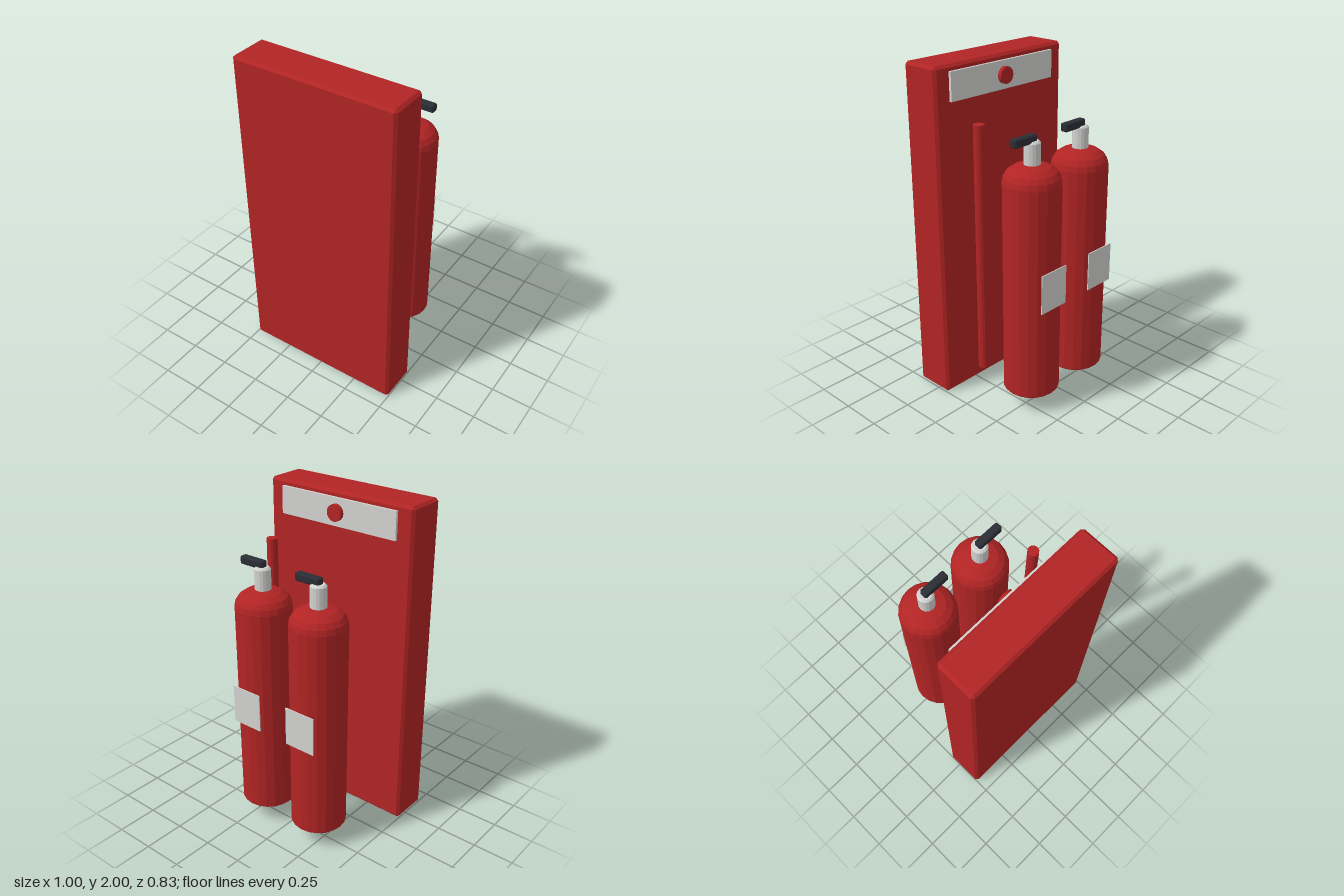
import * as THREE from 'three';
import { ConvexGeometry } from 'three/addons/geometries/ConvexGeometry.js';

const mat = (name, color, flatShading = true) =>
  Object.assign(new THREE.MeshStandardMaterial({ color, flatShading }), { name });

// Box with every edge cut at 45 degrees
function chamferBox(w, h, d, c) {
  const points = [];
  for (const x of [-1, 1]) for (const y of [-1, 1]) for (const z of [-1, 1]) {
    for (let full = 0; full < 3; full++) {
      points.push(new THREE.Vector3(
        x * (w / 2 - (full === 0 ? 0 : c)),
        y * (h / 2 - (full === 1 ? 0 : c)),
        z * (d / 2 - (full === 2 ? 0 : c))));
    }
  }
  return new ConvexGeometry(points);
}

const lathe = (profile, sides) =>
  new THREE.LatheGeometry(profile.map(([r, y]) => new THREE.Vector2(r, y)), sides);

export function createModel() {
  const red = mat('red paint', 0xb22424);
  const silver = mat('silver metal', 0xd2d3d0);
  const dark = mat('dark plastic', 0x2b2d35);
  const model = new THREE.Group();
  model.name = 'fireStation';

  function add(parent, name, geometry, material, x, y, z) {
    const mesh = new THREE.Mesh(geometry, material);
    mesh.name = name;
    mesh.position.set(x, y, z);
    parent.add(mesh);
    return mesh;
  }

  // Large panel with its sign strip and round button
  add(model, 'panel', chamferBox(1, 2, 0.246, 0.016), red, 0, 1, 0.291);
  add(model, 'signStrip', new THREE.BoxGeometry(0.8, 0.164, 0.016), silver, 0, 1.883, 0.16);
  const button = add(model, 'button', new THREE.CylinderGeometry(0.049, 0.049, 0.026, 16), red, 0, 1.883, 0.14);
  button.rotation.x = Math.PI / 2;

  // Free-standing pipe
  add(model, 'pipe', new THREE.CylinderGeometry(0.032, 0.032, 1.5, 14), red, 0.35, 0.95, 0);

  // Pair of bottles
  const bottleShape = lathe([
    [0, 0.115], [0.156, 0.115], [0.165, 0.124], [0.165, 1.4], [0.158, 1.432],
    [0.139, 1.462], [0.103, 1.487], [0.055, 1.5], [0, 1.502],
  ], 20);
  const neckShape = lathe([[0.047, 1.495], [0.047, 1.62], [0.036, 1.631], [0, 1.631]], 16);
  const handleShape = chamferBox(0.166, 0.047, 0.047, 0.007);
  const labelShape = new THREE.BoxGeometry(0.2, 0.235, 0.006);

  for (const [name, x] of [['leftExtinguisher', 0.2], ['rightExtinguisher', -0.2]]) {
    const bottle = new THREE.Group();
    bottle.name = name;
    bottle.position.set(x, 0, -0.247);
    add(bottle, 'bottle', bottleShape, red, 0, 0, 0);
    add(bottle, 'neck', neckShape, silver, 0, 0, 0);
    add(bottle, 'handle', handleShape, dark, 0.066, 1.643, 0);
    add(bottle, 'label', labelShape, silver, 0, 0.803, -0.167);
    model.add(bottle);
  }
  return model;
}
